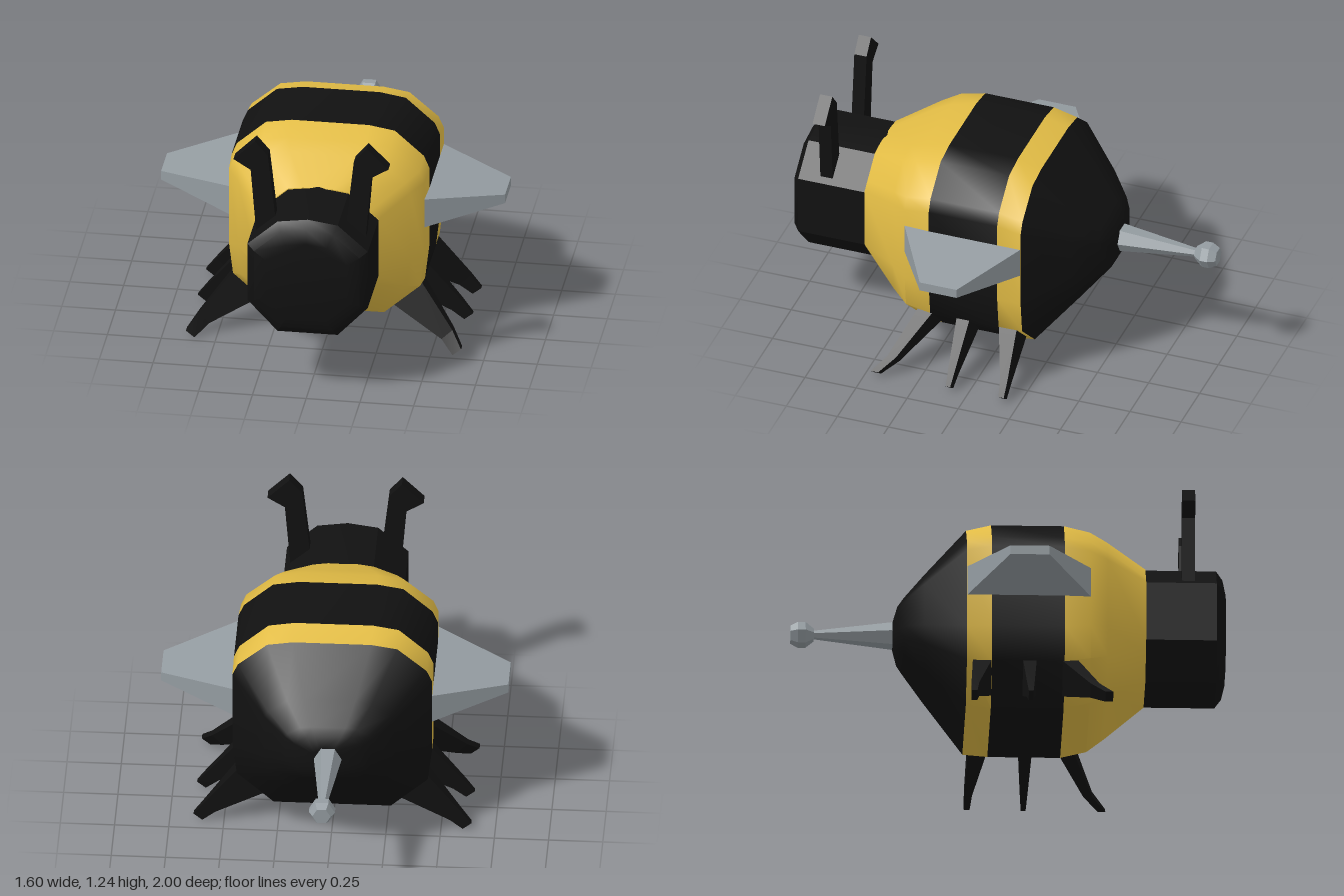
import * as THREE from 'three';
import { toCreasedNormals } from 'three/addons/utils/BufferGeometryUtils.js';

const paint = (color) => new THREE.MeshStandardMaterial({ color });
const yellow = paint(0xe2bc45);
const black = paint(0x111111);
const grey = paint(0x949ca1);

// Skins a list of equal-length rings of [x, y, z] and closes both ends.
function loft(rings, crease = 0.1) {
  const n = rings[0].length;
  const pts = rings.flat();
  const index = [];
  for (let r = 0; r < rings.length - 1; r++) {
    for (let i = 0; i < n; i++) {
      const a = r * n + i, b = r * n + (i + 1) % n;
      index.push(a, b, b + n, a, b + n, a + n);
    }
  }
  const last = (rings.length - 1) * n;
  for (let i = 1; i < n - 1; i++) {
    index.push(0, i + 1, i, last, last + i, last + i + 1);
  }
  // Turn the faces outward whichever way the rings run
  let volume = 0;
  const v = [new THREE.Vector3(), new THREE.Vector3(), new THREE.Vector3()];
  for (let i = 0; i < index.length; i += 3) {
    for (let k = 0; k < 3; k++) v[k].fromArray(pts[index[i + k]]);
    volume += v[0].dot(v[1].cross(v[2]));
  }
  if (volume < 0) index.reverse();
  const g = new THREE.BufferGeometry();
  g.setAttribute('position', new THREE.Float32BufferAttribute(pts.flat(), 3));
  g.setIndex(index);
  return toCreasedNormals(g, crease);
}

// Right half outlines, top to bottom
const bodyHalf = [[0.18, 1.05], [0.3, 1.03], [0.435, 0.91], [0.46, 0.85], [0.46, 0.45], [0.44, 0.28], [0.27, 0.12]];
const headHalf = [[0, 0.905], [0.14, 0.885], [0.28, 0.76], [0.28, 0.47], [0.14, 0.32]];
const neckHalf = [[0.07, 0.895], [0.14, 0.885], [0.24, 0.796], [0.28, 0.76], [0.28, 0.47], [0.235, 0.42], [0.14, 0.32]];

// Mirrored outline at depth z, fitted to a half width and a height range
function section(half, z, w, y0, y1) {
  const ws = Math.max(...half.map((p) => p[0]));
  const ys = half.map((p) => p[1]);
  const lo = Math.min(...ys), hi = Math.max(...ys);
  const right = half.map(([x, y]) => [x * w / ws, y0 + (y - lo) / (hi - lo) * (y1 - y0), z]);
  const left = right.filter((p) => p[0] > 0).reverse().map(([x, y]) => [-x, y, z]);
  return [...right, ...left];
}
const body = (z, w, y0, y1) => section(bodyHalf, z, w, y0, y1);

export function createModel() {
  const model = new THREE.Group();
  const add = (name, geometry, material) => {
    const mesh = new THREE.Mesh(geometry, material);
    mesh.name = name;
    model.add(mesh);
    return mesh;
  };

  // Striped body, front to back
  add('frontBody', loft([
    section(neckHalf, 0.63, 0.28, 0.32, 0.9),
    body(0.45, 0.4, 0.2, 0.985),
    body(0.37, 0.455, 0.15, 1.02),
    body(0.25, 0.46, 0.12, 1.05),
  ], 0.75), yellow);
  add('middleStripe', loft([body(0.25, 0.46, 0.12, 1.05), body(-0.085, 0.46, 0.12, 1.05)], 0.75), black);
  add('rearStripe', loft([body(-0.085, 0.46, 0.12, 1.05), body(-0.2, 0.46, 0.13, 1.02)], 0.75), yellow);
  add('tail', loft([
    body(-0.2, 0.46, 0.13, 1.02),
    body(-0.39, 0.3, 0.352, 0.832),
    body(-0.48, 0.2, 0.457, 0.743),
    body(-0.51, 0.15, 0.49, 0.71),
    body(-0.53, 0.07, 0.545, 0.655),
  ], 0.75), black);

  // Head with a bevelled face
  add('head', loft([
    section(headHalf, 0.6, 0.28, 0.32, 0.905),
    section(headHalf, 0.955, 0.28, 0.32, 0.905),
    section(headHalf, 0.985, 0.245, 0.355, 0.865),
    section(headHalf, 1, 0.19, 0.41, 0.8),
  ], 0.5), black);

  // Stinger with a six-sided bulb on its end
  const lathe = (profile) => {
    const g = new THREE.LatheGeometry(profile.map(([r, d]) => new THREE.Vector2(r, d)), 6, Math.PI / 2);
    g.rotateX(-Math.PI / 2).translate(0, 0.602, 0);
    return toCreasedNormals(g.toNonIndexed(), 0.1);
  };
  add('stinger', lathe([[0, 0.5], [0.068, 0.5], [0.018, 0.91]]), grey);
  add('stingerBulb', lathe([[0, 0.89], [0.03, 0.892], [0.06, 0.93], [0.06, 0.965], [0.042, 1], [0, 1]]), grey);

  // Legs: root z, root half depth, knee z, foot z, foot half depth
  const legs = {
    front: [0.25, 0.042, 0.385, 0.45, 0.018],
    middle: [0.09, 0.035, 0.09, 0.09, 0.011],
    rear: [-0.12, 0.05, -0.165, -0.17, 0.013],
  };

  for (const [side, s] of [['left', 1], ['right', -1]]) {
    // Bent antenna
    const outline = [[0.15, 0.72], [0.25, 0.72], [0.28, 1.09], [0.36, 1.14], [0.26, 1.24], [0.2, 1.17]];
    const shape = new THREE.Shape(outline.map(([x, y]) => new THREE.Vector2(s * x, y)));
    const antenna = new THREE.ExtrudeGeometry(shape, { depth: 0.06, bevelEnabled: false });
    add(side + 'Antenna', antenna.translate(0, 0, 0.795), black);

    // Tapered wing
    const rect = (x, y0, y1, z0, z1) => [[s * x, y0, z0], [s * x, y0, z1], [s * x, y1, z1], [s * x, y1, z0]];
    add(side + 'Wing', loft([rect(0.455, 0.603, 0.747, -0.2, 0.37), rect(0.8, 0.653, 0.697, -0.01, 0.17)]), grey);

    // Legs tapering to a turned foot
    for (const [place, [rootZ, rootD, kneeZ, footZ, footD]] of Object.entries(legs)) {
      const ring = ([ox, oy], [ix, iy], z, d) => [
        [s * ox, oy, z - d], [s * ox, oy, z + d], [s * ix, iy, z + d], [s * ix, iy, z - d],
      ];
      add(side + place[0].toUpperCase() + place.slice(1) + 'Leg', loft([
        ring([0.4, 0.33], [0.25, 0.19], rootZ, rootD),
        ring([0.59, 0.1], [0.54, 0.05], kneeZ, (footD + 0.02) * 0.55),
        ring([0.64, 0.035], [0.6, 0.003], footZ, footD),
      ]), black);
    }
  }
  return model;
}
